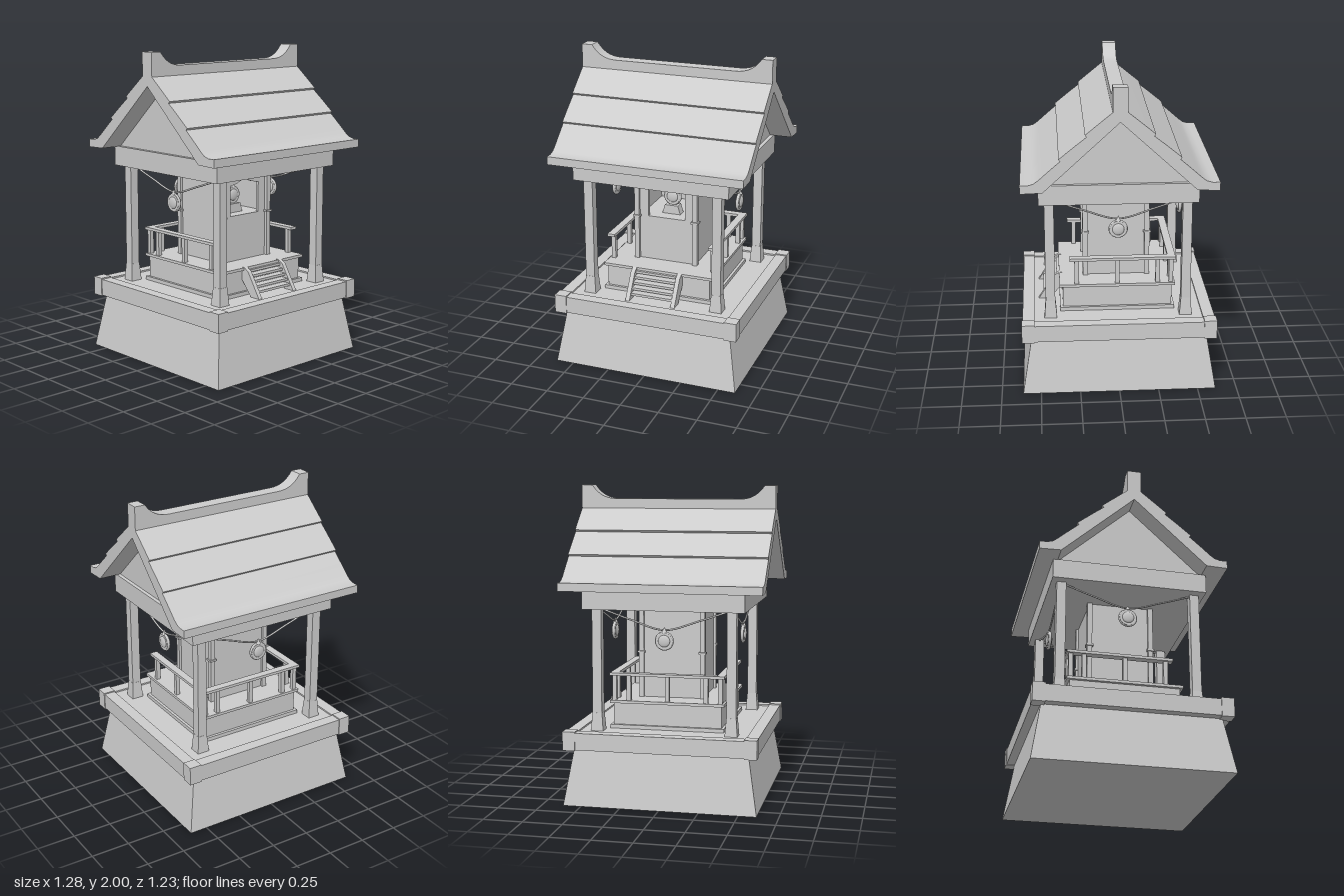
import * as THREE from 'three';
import { toCreasedNormals } from 'three/addons/utils/BufferGeometryUtils.js';

const stone = new THREE.MeshStandardMaterial({ color: 0xcccccc });
stone.name = 'pale grey';

function add(parent, name, geometry, x = 0, y = 0, z = 0) {
  const mesh = new THREE.Mesh(geometry, stone);
  mesh.name = name;
  mesh.position.set(x, y, z);
  parent.add(mesh);
  return mesh;
}

// Box given by its lower and upper limits on each axis
function box(parent, name, x0, x1, y0, y1, z0, z1) {
  return add(parent, name, new THREE.BoxGeometry(x1 - x0, y1 - y0, z1 - z0),
    (x0 + x1) / 2, (y0 + y1) / 2, (z0 + z1) / 2);
}

const toShape = (points) => new THREE.Shape(points.map(([a, b]) => new THREE.Vector2(a, b)));

function extrude(shape, depth) {
  const geo = new THREE.ExtrudeGeometry(shape, { depth, bevelEnabled: false });
  return geo.translate(0, 0, -depth / 2);
}

// Extrude a (z, y) outline along x
const extrudeX = (points, width) => extrude(toShape(points), width).rotateY(-Math.PI / 2);

// Square tapering block standing on y = 0
function taper(bottom, top, height) {
  const geo = new THREE.CylinderGeometry(top * Math.SQRT2, bottom * Math.SQRT2, height, 4).toNonIndexed();
  geo.rotateY(Math.PI / 4).translate(0, height / 2, 0);
  geo.computeVertexNormals();
  return geo;
}

const mirrored = (half) => [...half, ...half.slice().reverse().map(([a, b]) => [-a, b])];

function buildBase(g) {
  add(g, 'plinth', taper(0.615, 0.555, 0.36));
  box(g, 'floor', -0.55, 0.55, 0.36, 0.458, -0.55, 0.55);
  for (const s of [-1, 1]) {
    const inner = s * 0.535, outer = s * 0.61;
    const lo = Math.min(inner, outer), hi = Math.max(inner, outer);
    box(g, 'rimFrontBack', -0.54, 0.54, 0.36, 0.468, lo, hi);
    box(g, 'rimSide', lo, hi, 0.36, 0.468, -0.54, 0.54);
    for (const t of [-1, 1]) {
      box(g, 'rimCorner', s * 0.575 - 0.04, s * 0.575 + 0.04, 0.355, 0.476, t * 0.575 - 0.04, t * 0.575 + 0.04);
      // Main posts with flared feet
      box(g, 'post', s * 0.43 - 0.03, s * 0.43 + 0.03, 0.45, 1.24, t * 0.43 - 0.03, t * 0.43 + 0.03);
      add(g, 'postFoot', taper(0.04, 0.031, 0.115), s * 0.43, 0.458, t * 0.43);
    }
  }
}

function buildDeck(g) {
  box(g, 'deckSkirting', -0.368, 0.368, 0.455, 0.482, -0.368, 0.368);
  box(g, 'deckBody', -0.35, 0.35, 0.48, 0.63, -0.35, 0.35);
  box(g, 'deckBoard', -0.37, 0.37, 0.622, 0.64, -0.37, 0.37);

  // Railing on both sides and the back
  box(g, 'backRail', -0.37, 0.37, 0.8, 0.818, -0.372, -0.322);
  const railPost = (x, z) => box(g, 'railPost', x - 0.014, x + 0.014, 0.64, 0.802, z - 0.014, z + 0.014);
  for (const s of [-1, 1]) {
    box(g, 'sideRail', s * 0.346 - 0.025, s * 0.346 + 0.025, 0.8, 0.818, -0.372, 0.305);
    for (const z of [0.26, 0, -0.26, -0.345]) railPost(s * 0.343, z);
    railPost(s * 0.25, -0.345);
  }
  railPost(0, -0.345);

  // Front steps between sloping stringers
  const side = [[0.505, 0.46], [0.405, 0.62], [0.37, 0.642], [0.35, 0.642], [0.35, 0.56], [0.43, 0.46]];
  for (const s of [-1, 1]) add(g, 'stairStringer', extrudeX(side, 0.028), s * 0.154);
  for (let i = 0; i < 5; i++) {
    const y = 0.487 + i * 0.03, z = 0.475 - i * 0.022;
    box(g, 'stairTread', -0.14, 0.14, y, y + 0.016, z - 0.055, z);
  }
}

function buildCabin(g) {
  // Walls around a hollow niche
  box(g, 'backWall', -0.19, 0.19, 0.64, 1.24, -0.2, -0.18);
  for (const s of [-1, 1]) {
    box(g, 'sideWall', s * 0.19 - 0.01, s * 0.19 + 0.01, 0.64, 1.24, -0.19, 0.19);
    for (const t of [-1, 1]) {
      box(g, 'cabinPost', s * 0.2 - 0.016, s * 0.2 + 0.016, 0.64, 1.24, t * 0.2 - 0.016, t * 0.2 + 0.016);
      box(g, 'postCollar', s * 0.2 - 0.024, s * 0.2 + 0.024, 0.93, 0.942, t * 0.2 - 0.024, t * 0.2 + 0.024);
    }
  }
  const front = toShape([[-0.19, 0.64], [0.19, 0.64], [0.19, 1.24], [-0.19, 1.24]]);
  const arch = [[0.125, 0.937], [0.125, 1.135], [0.07, 1.145], [0.03, 1.16], [0, 1.175]];
  front.holes.push(new THREE.Path(mirrored(arch).map(([x, y]) => new THREE.Vector2(x, y))));
  add(g, 'frontWall', extrude(front, 0.02), 0, 0, 0.185);
  box(g, 'nicheFloor', -0.185, 0.185, 0.917, 0.937, -0.185, 0.18);

  // Stand and disc inside the niche
  add(g, 'discStand', extrude(toShape(mirrored([[0.062, 0.937], [0.045, 0.995]])), 0.06), 0, 0, 0.08);
  disc(g, 'nicheDisc').position.set(0, 1.05, 0.08);
}

// Round ornament with a rim and a pointed top, facing +z
function disc(parent, name) {
  const d = new THREE.Group();
  d.name = name;
  const plate = new THREE.CylinderGeometry(0.054, 0.054, 0.022, 28).rotateX(Math.PI / 2);
  add(d, 'discPlate', plate);
  add(d, 'discRim', new THREE.TorusGeometry(0.05, 0.011, 8, 28));
  for (const s of [-1, 1]) {
    add(d, 'discBoss', new THREE.SphereGeometry(0.038, 20, 12).scale(1, 1, 0.3), 0, 0, s * 0.01);
  }
  add(d, 'discTip', new THREE.ConeGeometry(0.018, 0.035, 10), 0, 0.07, 0);
  parent.add(d);
  return d;
}

function buildHangings(g) {
  const points = [[-0.41, 1.237], [-0.215, 1.17], [0, 1.11], [0.215, 1.17], [0.41, 1.237]];
  const curve = new THREE.CatmullRomCurve3(points.map(([x, y]) => new THREE.Vector3(x, y, 0)));
  for (const angle of [Math.PI, Math.PI / 2, -Math.PI / 2]) {
    const h = new THREE.Group();
    h.name = 'hanging';
    const inner = new THREE.Group();
    inner.name = 'ropeAndDisc';
    inner.position.z = 0.43;
    add(inner, 'rope', new THREE.TubeGeometry(curve, 28, 0.006, 8));
    disc(inner, 'hangingDisc').position.y = 1.042;
    h.add(inner);
    h.rotation.y = angle;
    g.add(h);
  }
}

function buildRoof(g) {
  box(g, 'topBeam', -0.515, 0.515, 1.235, 1.362, -0.495, 0.495);
  add(g, 'gable', extrudeX([[-0.466, 1.36], [0.466, 1.36], [0, 1.792]], 0.98));

  // Layered slopes with flared eaves
  const slope = [
    [0.045, 1.85], [0.125, 1.785], [0.21, 1.715], [0.2, 1.703],
    [0.28, 1.64], [0.368, 1.568], [0.358, 1.556],
    [0.44, 1.485], [0.49, 1.44], [0.52, 1.418], [0.555, 1.408], [0.602, 1.408],
    [0.602, 1.356], [0.466, 1.36],
  ];
  const outline = [...mirrored(slope), [-0.0, 1.85]];
  outline.pop();
  // Close the underside through the inner ridge line
  const left = slope.slice().reverse().map(([z, y]) => [-z, y]);
  const roof = extrudeX([...left, ...slope, [0, 1.79]], 1.276);
  add(g, 'roof', toCreasedNormals(roof, 0.6));

  // Ridge rising at both ends
  const ridge = new THREE.Shape();
  ridge.moveTo(-0.638, 1.84);
  ridge.lineTo(0.638, 1.84);
  ridge.lineTo(0.638, 2);
  ridge.lineTo(0.568, 2);
  ridge.bezierCurveTo(0.53, 1.945, 0.485, 1.912, 0.4, 1.912);
  ridge.lineTo(-0.4, 1.912);
  ridge.bezierCurveTo(-0.485, 1.912, -0.53, 1.945, -0.568, 2);
  ridge.lineTo(-0.638, 2);
  ridge.closePath();
  add(g, 'ridge', toCreasedNormals(extrude(ridge, 0.09), 0.5));
}

export function createModel() {
  const model = new THREE.Group();
  model.name = 'shrine';
  const sections = { base: buildBase, deck: buildDeck, cabin: buildCabin, hangings: buildHangings, roofing: buildRoof };
  for (const [name, build] of Object.entries(sections)) {
    const group = new THREE.Group();
    group.name = name;
    build(group);
    model.add(group);
  }
  return model;
}
